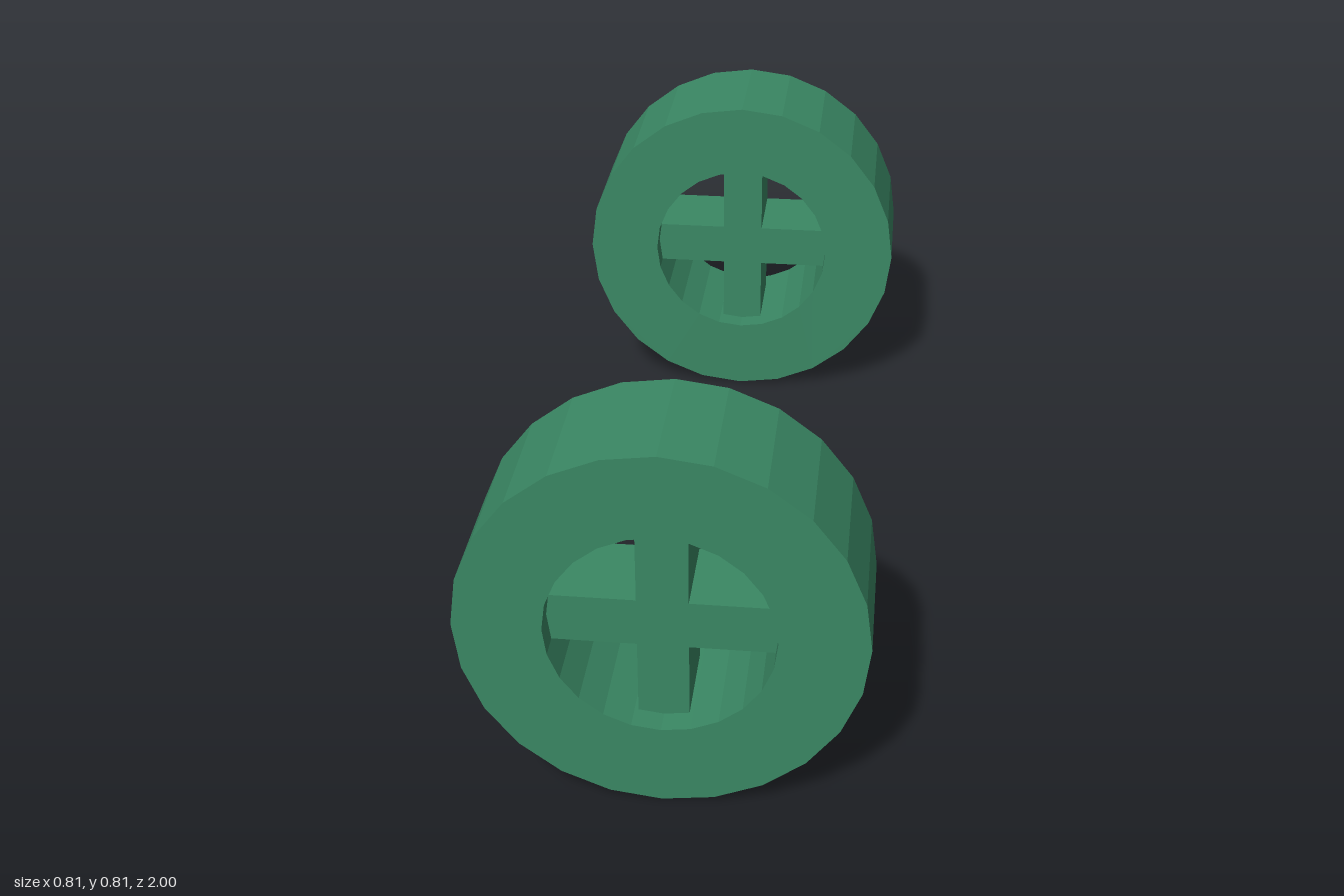
import * as THREE from 'three';

const SIDES = 24, OUTER = 0.404, INNER = 0.227;

const material = new THREE.MeshStandardMaterial({ color: 0x3a8864, flatShading: true });

// Corners of a regular polygon, counter-clockwise, with one corner at the top
function polygon(radius) {
  return Array.from({ length: SIDES }, (_, i) => {
    const a = (i / SIDES) * Math.PI * 2;
    return new THREE.Vector2(-radius * Math.sin(a), radius * Math.cos(a));
  });
}

function part(name, geometry) {
  const mesh = new THREE.Mesh(geometry, material);
  mesh.name = name;
  return mesh;
}

// A thick faceted rim with a recessed cross of spokes
function makeWheel(name, zBack, zFront) {
  const wheel = new THREE.Group();
  wheel.name = name;
  const depth = zFront - zBack;

  const outline = new THREE.Shape(polygon(OUTER));
  outline.holes.push(new THREE.Path(polygon(INNER)));
  const rim = new THREE.ExtrudeGeometry(outline, { depth, bevelEnabled: false });
  rim.translate(0, 0, -depth / 2);
  wheel.add(part('rim', rim));

  // Spoke ends are sunk slightly into the rim
  const spokeDepth = depth - 0.1, length = 0.46;
  const vertical = part('verticalSpoke', new THREE.BoxGeometry(0.102, length, spokeDepth));
  const horizontal = part('horizontalSpoke', new THREE.BoxGeometry(length, 0.104, spokeDepth));
  horizontal.position.y = -0.006;
  wheel.add(vertical, horizontal);

  wheel.position.set(0, OUTER, (zBack + zFront) / 2);
  return wheel;
}

export function createModel() {
  const model = new THREE.Group();
  model.name = 'wheelPair';
  model.add(makeWheel('frontWheel', 0.716, 1), makeWheel('rearWheel', -1, -0.7));
  return model;
}
